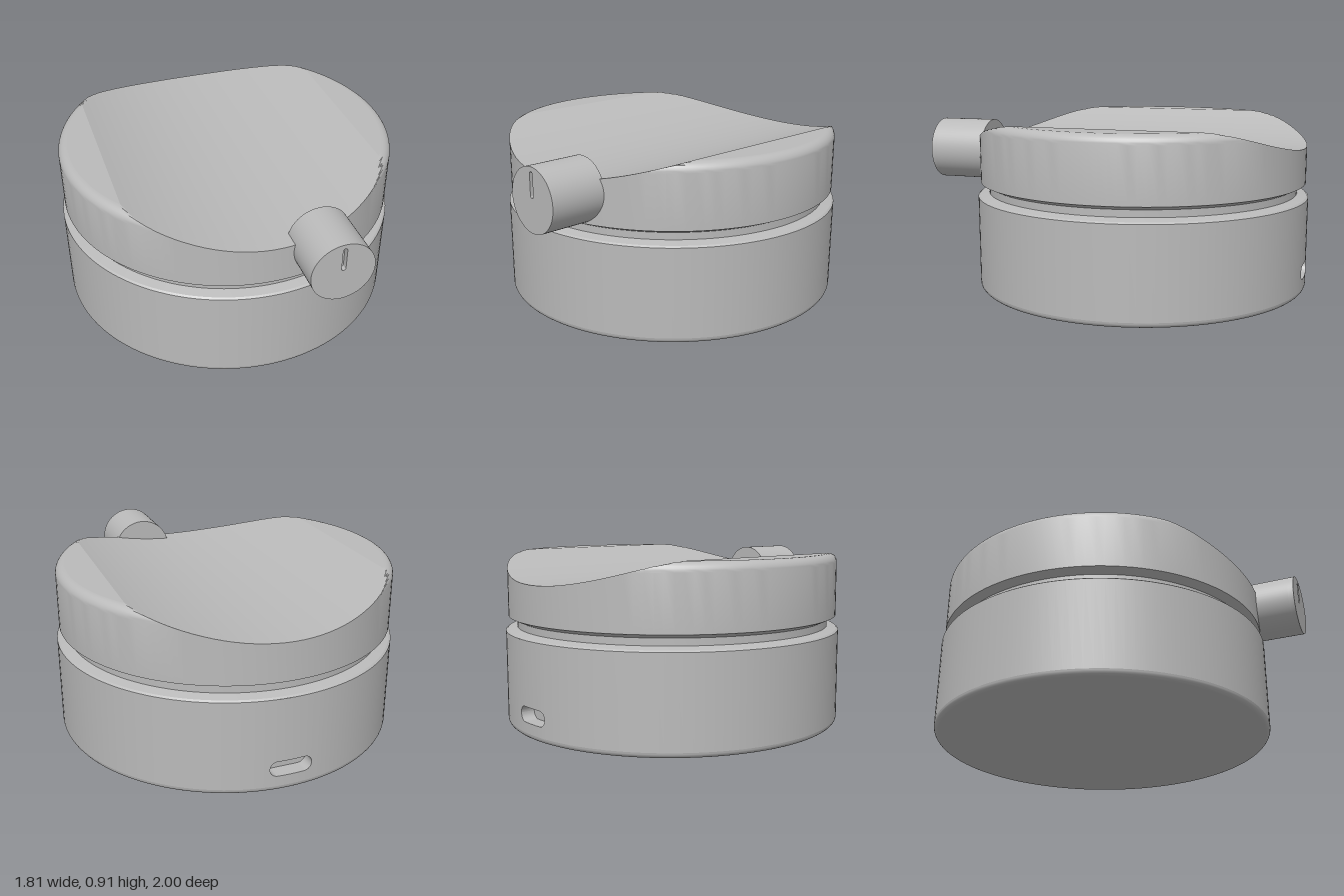
import * as THREE from 'three';
import { toCreasedNormals } from 'three/addons/utils/BufferGeometryUtils.js';

const SEG = 120, STEP = (Math.PI * 2) / SEG; // three degrees per side
const R = 0.905, CAP_R = 0.89, FILLET = 0.05, TOP = 0.91, DISH = 0.775;
const RIM = CAP_R - FILLET;
const DISH_X = RIM * Math.sin(18 * STEP); // half width of the dished top
const DISH_R = (DISH_X ** 2 + (TOP - DISH) ** 2) / (2 * (TOP - DISH));

// Height of the cap top: a shallow cylindrical dish between two flats
const topY = (x) => Math.abs(x) >= DISH_X - 1e-6 ? TOP
  : DISH + DISH_R - Math.sqrt(DISH_R ** 2 - x ** 2);

// Strip of quads between paired points
function band(pairs) {
  const index = [];
  for (let i = 0; i < pairs.length - 1; i++) {
    const a = 2 * i;
    index.push(a, a + 2, a + 1, a + 1, a + 2, a + 3);
  }
  const g = new THREE.BufferGeometry();
  g.setAttribute('position', new THREE.Float32BufferAttribute(pairs.flat(2), 3));
  g.setIndex(index);
  g.computeVertexNormals();
  return g;
}

// Quarter-round profile points
function arc(cx, cy, r, from, to, n = 6) {
  return Array.from({ length: n + 1 }, (_, i) => {
    const t = from + ((to - from) * i) / n;
    return [cx + r * Math.cos(t), cy + r * Math.sin(t)];
  });
}

const lathe = (pts, seg = SEG, start = 0, len = Math.PI * 2) =>
  new THREE.LatheGeometry(pts.map(([x, y]) => new THREE.Vector2(x, y)), seg, start, len);

export function createModel() {
  const grey = new THREE.MeshStandardMaterial({ color: 0xbababa, side: THREE.DoubleSide });
  grey.name = 'grey';
  const model = new THREE.Group();
  model.name = 'knobbedPuck';
  const body = new THREE.Group();
  body.name = 'body';
  body.position.z = -0.095;
  model.add(body);
  const add = (parent, name, geometry) => {
    const mesh = new THREE.Mesh(geometry, grey);
    mesh.name = name;
    parent.add(mesh);
    return mesh;
  };

  // Underside with rounded edge
  const edge = 0.03;
  add(body, 'underside', toCreasedNormals(
    lathe([[0, 0], ...arc(R - edge, edge, edge, -Math.PI / 2, 0)]), 0.3));

  // Base wall, left open at the back for the port
  const wallTop = 0.5, gap = 3;
  add(body, 'baseWall', lathe([[R, edge], [R, wallTop]],
    SEG - 2 * gap, Math.PI + gap * STEP, (SEG - 2 * gap) * STEP));

  // Shoulder, groove and underside of the cap
  add(body, 'groove', toCreasedNormals(
    lathe([[R, wallTop], [0.895, 0.508], [0.845, 0.52], [0.845, 0.557], [CAP_R, 0.578]]), 0.3));

  // Rounded port cut into the back wall
  const portY = 0.125, portR = 0.04, portHalf = 0.07, portDepth = 0.08;
  const gapX = R * Math.sin(gap * STEP), cols = [];
  for (let i = 0; i <= 8; i++) {
    const t = (i / 8) * (Math.PI / 2);
    cols.push([portHalf + portR * Math.cos(t), portR * Math.sin(t)]);
  }
  cols.push([portHalf / 2, portR], [0, portR]);
  cols.push(...cols.slice(0, -1).reverse().map(([x, h]) => [-x, h]));
  const wallCols = [[gapX, 0], ...cols, [-gapX, 0]];
  const outer = (x, y) => [x, y, -Math.sqrt(R ** 2 - x ** 2)];
  const inner = (x, y) => [x, y, -R + portDepth];
  add(body, 'wallAbovePort', band(wallCols.map(([x, h]) => [outer(x, portY + h), outer(x, wallTop)])));
  add(body, 'wallBelowPort', band(wallCols.map(([x, h]) => [outer(x, edge), outer(x, portY - h)])));
  add(body, 'portCeiling', band(cols.map(([x, h]) => [inner(x, portY + h), outer(x, portY + h)])));
  add(body, 'portSill', band(cols.map(([x, h]) => [outer(x, portY - h), inner(x, portY - h)])));
  add(body, 'portBack', band(cols.map(([x, h]) => [inner(x, portY - h), inner(x, portY + h)])));

  // Cap side and rounded rim, trimmed to the dish
  const side = lathe([[CAP_R, 0.578], ...arc(RIM, TOP - FILLET, FILLET, 0, Math.PI / 2, 8)]);
  const p = side.attributes.position;
  for (let i = 0; i < p.count; i++) p.setY(i, Math.min(p.getY(i), topY(p.getX(i))));
  add(body, 'capSide', toCreasedNormals(side, 0.3));

  // Dished cap top, in columns that meet the rim
  const topCols = [];
  for (let i = -SEG / 4; i <= SEG / 4; i++) {
    const x = RIM * Math.sin(i * STEP), z = RIM * Math.cos(i * STEP);
    topCols.push([[x, topY(x), z], [x, topY(x), -z]]);
  }
  add(body, 'capTop', toCreasedNormals(band(topCols), 0.3));

  // Knob with a slot cut in its face
  const knob = new THREE.Group();
  knob.name = 'knob';
  knob.position.set(0.225, 0.735, 0);
  model.add(knob);
  const knobR = 0.163, slotR = 0.011, slotDepth = 0.03;
  const face = new THREE.Shape().absarc(0, 0, knobR, 0, Math.PI * 2, false);
  const slot = new THREE.Path();
  slot.absarc(0, 0.128, slotR, 0, Math.PI, false);
  slot.absarc(0, 0.022, slotR, Math.PI, Math.PI * 2, false);
  slot.closePath();
  face.holes.push(slot);
  add(knob, 'knobFace', toCreasedNormals(
    new THREE.ExtrudeGeometry(face, { depth: slotDepth, bevelEnabled: false, curveSegments: 32 }), 0.6))
    .position.z = 1 - slotDepth;
  const stemLength = 0.3 - slotDepth;
  const stem = new THREE.CylinderGeometry(knobR, knobR, stemLength, 64).rotateX(Math.PI / 2);
  add(knob, 'knobStem', stem).position.z = 0.7 + stemLength / 2;

  return model;
}
